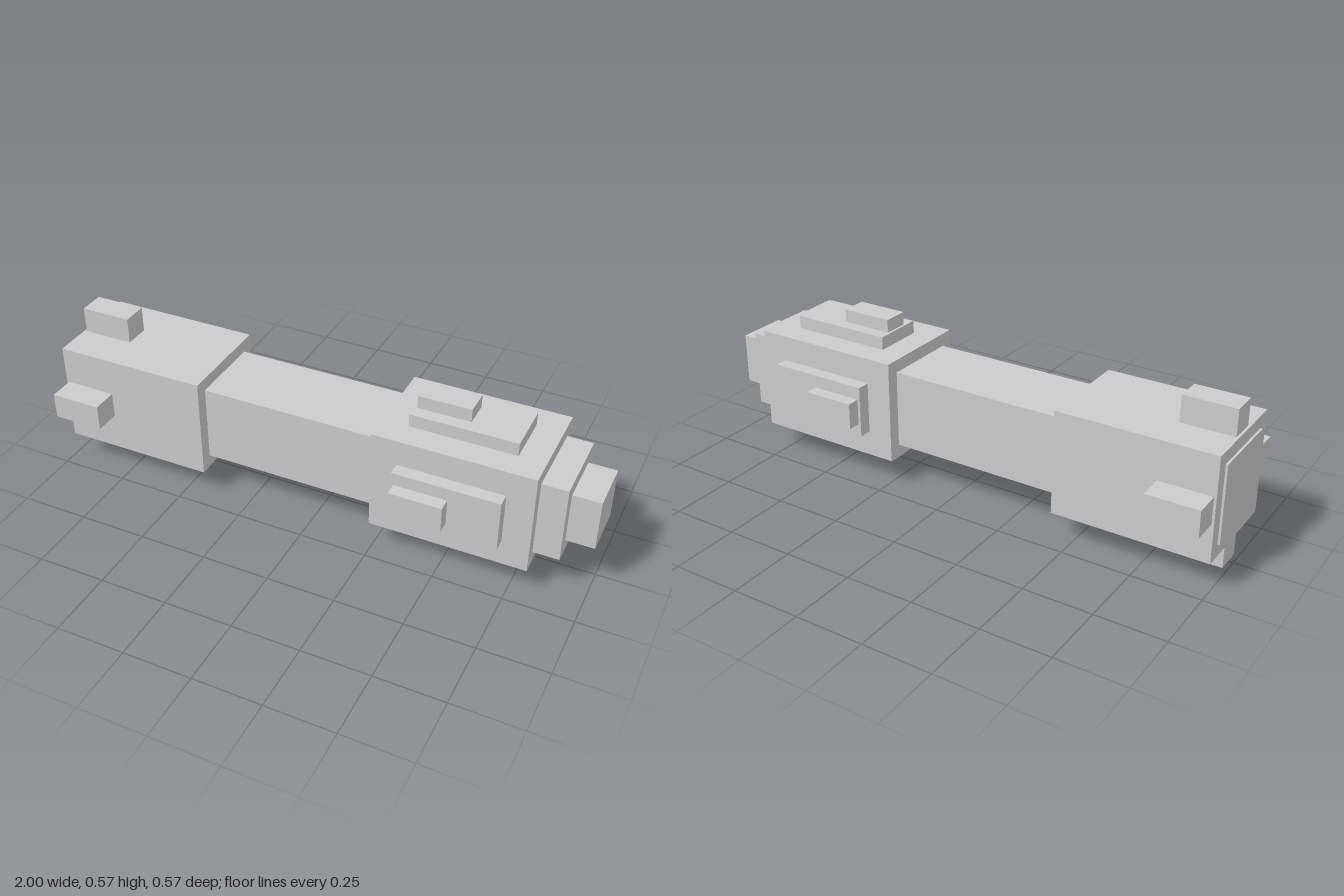
import * as THREE from 'three';

const AXIS_Y = 0.287;

export function createModel() {
  const model = new THREE.Group();
  model.name = 'blockyHandle';
  const material = new THREE.MeshStandardMaterial({ color: 0xcccccc, flatShading: true });

  // Box from x0 to x1, from y0 to y1 above the long axis, with half depth hz
  function block(parent, name, x0, x1, y0, y1, hz) {
    const mesh = new THREE.Mesh(new THREE.BoxGeometry(x1 - x0, y1 - y0, hz * 2), material);
    mesh.name = name;
    mesh.position.set((x0 + x1) / 2, (y0 + y1) / 2, 0);
    parent.add(mesh);
  }
  const core = (name, x0, x1, h) => block(body, name, x0, x1, -h, h, h);

  // Square sections along the long axis
  const body = new THREE.Group();
  body.name = 'body';
  body.position.y = AXIS_Y;
  model.add(body);
  core('shaft', -1, 0.9, 0.143);
  core('gripBlock', -0.992, -0.423, 0.19);
  core('headBlock', 0.237, 0.808, 0.19);
  core('tip', 0.9, 1, 0.095);

  // The same raised parts on each of the four long sides
  for (let i = 0; i < 4; i++) {
    const side = new THREE.Group();
    side.name = 'sideDetails' + (i + 1);
    side.rotation.x = (i * Math.PI) / 2;
    block(side, 'gripFin', -0.983, -0.794, 0.19, 0.286, 0.048);
    block(side, 'headPad', 0.332, 0.712, 0.19, 0.238, 0.095);
    block(side, 'headButton', 0.342, 0.532, 0.238, 0.286, 0.048);
    body.add(side);
  }
  return model;
}
